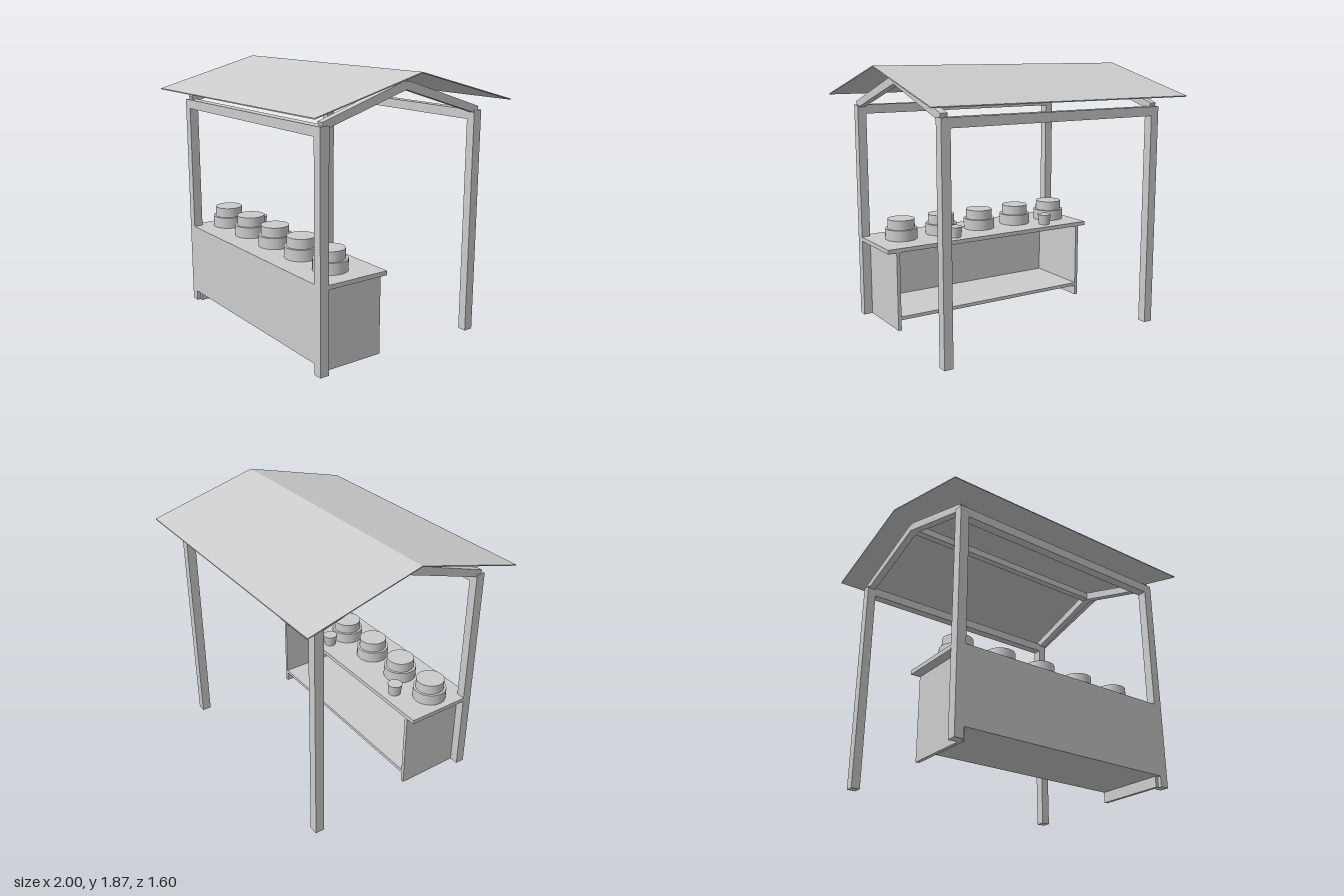
import * as THREE from 'three';

export function createModel() {
  const model = new THREE.Group();
  model.name = 'marketStall';
  const grey = new THREE.MeshStandardMaterial({ color: 0xcccccc });
  grey.name = 'plainGrey';

  function add(name, geometry, parent = model) {
    const mesh = new THREE.Mesh(geometry, grey);
    mesh.name = name;
    parent.add(mesh);
    return mesh;
  }

  // Box given by its lowest and highest corner
  function box(name, [x0, y0, z0], [x1, y1, z1]) {
    const mesh = add(name, new THREE.BoxGeometry(x1 - x0, y1 - y0, z1 - z0));
    mesh.position.set((x0 + x1) / 2, (y0 + y1) / 2, (z0 + z1) / 2);
    return mesh;
  }

  // Gable outline of [z, y] points, extruded along x and centred on x
  function gable(name, points, width, x = 0) {
    const shape = new THREE.Shape(points.map(([z, y]) => new THREE.Vector2(-z, y)));
    const geometry = new THREE.ExtrudeGeometry(shape, { depth: width, bevelEnabled: false });
    geometry.translate(0, 0, -width / 2).rotateY(Math.PI / 2);
    add(name, geometry).position.x = x;
  }

  // Posts and rafters at both ends
  for (const s of [-1, 1]) {
    for (const t of [-1, 1]) {
      const post = box('post', [0.8, 0, 0.6], [0.864, 1.577, 0.666]);
      post.position.x *= s;
      post.position.z *= t;
    }
    gable('rafterPair', [
      [0.645, 1.602], [0.025, 1.803], [-0.025, 1.803], [-0.645, 1.602],
      [-0.63, 1.553], [0, 1.75], [0.63, 1.553],
    ], 0.05, s * 0.832);
  }

  // Long beams
  box('frontBeam', [-0.8, 1.512, 0.6], [0.8, 1.577, 0.666]);
  box('backBeam', [-0.8, 1.512, -0.666], [0.8, 1.577, -0.6]);
  box('ridgeBeam', [-0.81, 1.75, -0.025], [0.81, 1.803, 0.025]);

  // Thin gabled roof
  gable('roof', [
    [0.8, 1.654], [0, 1.869], [-0.8, 1.654], [-0.8, 1.647], [0, 1.862], [0.8, 1.647],
  ], 2);

  // Counter, open at the back
  box('counterTop', [-0.865, 0.57, 0.138], [0.865, 0.6, 0.6]);
  box('counterTopFront', [-0.8, 0.57, 0.6], [0.8, 0.6, 0.641]);
  box('counterFront', [-0.8, 0.075, 0.641], [0.8, 0.6, 0.666]);
  box('counterShelf', [-0.775, 0.075, 0.138], [0.775, 0.1, 0.641]);
  for (const s of [-1, 1]) {
    box('counterSide', [0.775, 0, 0.138], [0.8, 0.57, 0.641]).position.x *= s;
  }

  // Two-tier cakes in a row
  for (let i = 0; i < 5; i++) {
    const cake = new THREE.Group();
    cake.name = 'cake';
    cake.position.set(-0.7 + i * 0.3325, 0.6, 0.418);
    add('lowerTier', new THREE.CylinderGeometry(0.118, 0.118, 0.08, 32), cake).position.y = 0.04;
    add('upperTier', new THREE.CylinderGeometry(0.1, 0.1, 0.07, 32), cake).position.y = 0.115;
    model.add(cake);
  }

  // Small tapered cups
  for (const x of [-0.535, 0.275]) {
    add('cup', new THREE.CylinderGeometry(0.053, 0.042, 0.08, 24)).position.set(x, 0.64, 0.237);
  }

  return model;
}
